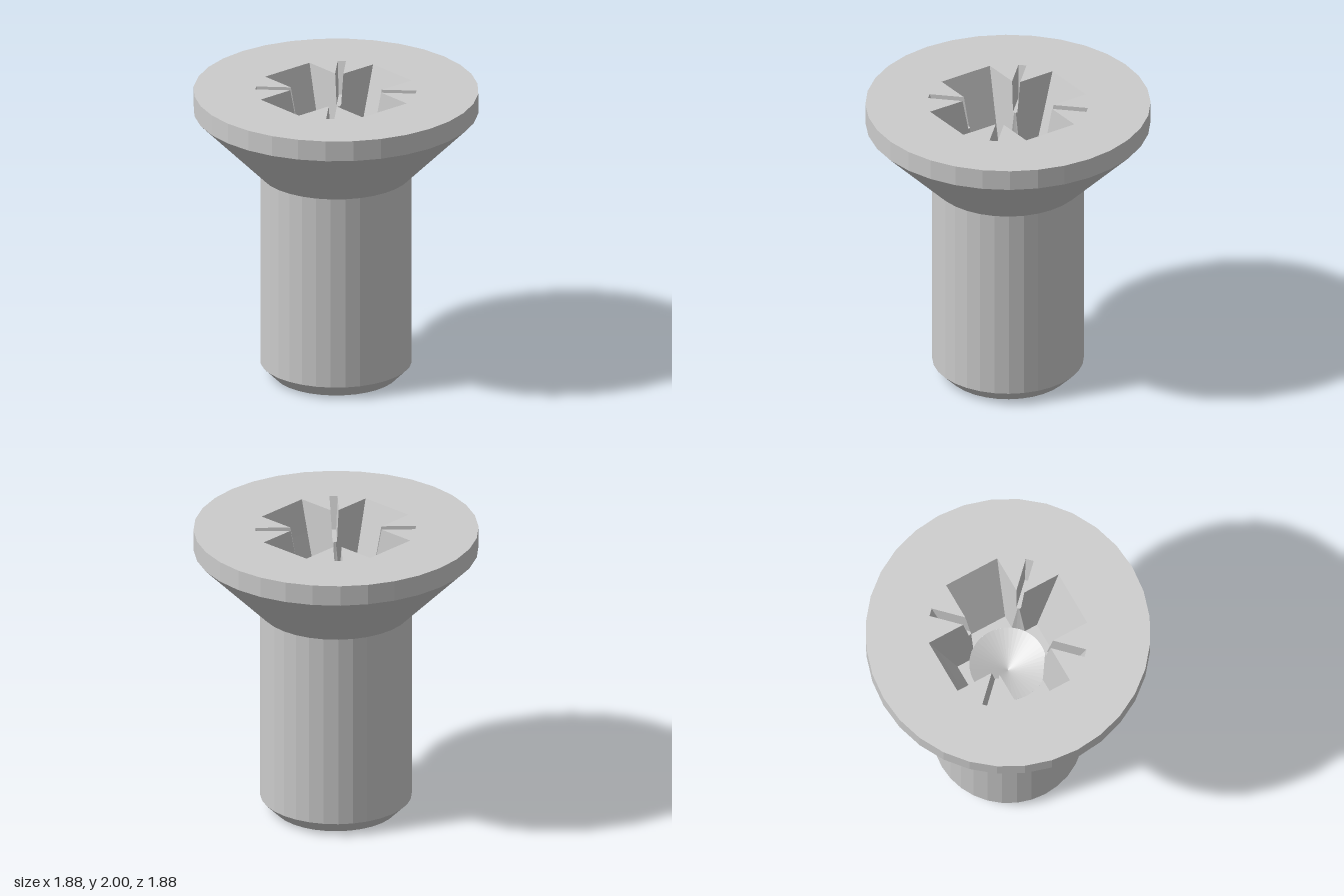
import * as THREE from 'three';

const SIDES = 32;
const TOP = 2, SLOT_Y = 1.79, FLOOR_Y = 1.4, TIP_Y = 1.28;
const BORE = 0.255; // radius of the drilled centre of the recess

const material = new THREE.MeshStandardMaterial({ color: 0xcccccc, flatShading: true });

function part(name, geometry) {
  const mesh = new THREE.Mesh(geometry, material);
  mesh.name = name;
  return mesh;
}

const lathe = (pairs, sides) =>
  new THREE.LatheGeometry(pairs.map(([r, y]) => new THREE.Vector2(r, y)), sides);

// Repeats one arm and its corner four times round the axis.
function ring(y, half, length, corner) {
  const quarter = [[length, -half], [length, half], ...corner];
  const points = [];
  for (let q = 0; q < 4; q++) {
    for (const [a, b] of quarter) {
      const [x, z] = [[a, b], [-b, a], [-a, -b], [b, -a]][q];
      points.push(new THREE.Vector3(x, y, z));
    }
  }
  return points;
}

// Corner with a narrow diagonal slot: w is its half width, r its outer reach.
function slotCorner(half, w, r) {
  const o = w * Math.SQRT2, e = r * Math.SQRT1_2, k = w * Math.SQRT1_2;
  return [[half + o, half], [e + k, e - k], [e - k, e + k], [half, half + o]];
}

// Corner rounded off by the bore.
function boreCorner(half) {
  const start = Math.asin(half / BORE), sweep = Math.PI / 2 - 2 * start;
  return [0, 1, 2, 3].map((i) => {
    const a = start + (sweep * i) / 3;
    return [BORE * Math.cos(a), BORE * Math.sin(a)];
  });
}

// Inward-facing walls between successive rings, from the top down.
function loft(rings) {
  const tri = [];
  for (let i = 0; i + 1 < rings.length; i++) {
    const u = rings[i], w = rings[i + 1];
    for (let j = 0; j < u.length; j++) {
      const k = (j + 1) % u.length;
      tri.push(u[j], w[j], u[k], u[k], w[j], w[k]);
    }
  }
  const geometry = new THREE.BufferGeometry().setFromPoints(tri);
  geometry.computeVertexNormals();
  return geometry;
}

export function createModel() {
  const model = new THREE.Group();
  model.name = 'countersunkScrew';

  // Shank with chamfered tip, conical head and its straight rim
  model.add(part('shankAndHead', lathe(
    [[0, 0], [0.41, 0], [0.5, 0.09], [0.5, 1.42], [0.94, 1.86], [0.94, TOP]], SIDES)));

  // Recess outlines at the mouth, slot floor and arm floor
  const mouth = ring(TOP, 0.193, 0.49, slotCorner(0.193, 0.027, 0.53));
  const slotFloor = ring(SLOT_Y, 0.176, 0.424, slotCorner(0.176, 0.015, 0.46));
  const underSlot = ring(SLOT_Y, 0.176, 0.424, boreCorner(0.176));
  const armFloor = ring(FLOOR_Y, 0.146, 0.3, boreCorner(0.146));
  model.add(part('recessWalls', loft([mouth, slotFloor, underSlot, armFloor])));

  // Flat top of the head, pierced by the recess
  const disc = new THREE.Shape();
  for (let i = 0; i < SIDES; i++) {
    const a = (i / SIDES) * Math.PI * 2;
    disc[i ? 'lineTo' : 'moveTo'](0.94 * Math.cos(a), 0.94 * Math.sin(a));
  }
  disc.holes.push(new THREE.Path(mouth.map((p) => new THREE.Vector2(p.x, -p.z))));
  const face = new THREE.ShapeGeometry(disc).rotateX(-Math.PI / 2).translate(0, TOP, 0);
  model.add(part('headTop', face));

  // Floors of the four arms, ending at the bore
  const a = Math.asin(0.146 / BORE);
  const arm = new THREE.Shape();
  arm.moveTo(0.3, -0.146);
  arm.lineTo(0.3, 0.146);
  arm.absarc(0, 0, BORE, a, -a, true);
  for (let q = 0; q < 4; q++) {
    const floor = new THREE.ShapeGeometry(arm, 8).rotateX(-Math.PI / 2);
    floor.rotateY((q * Math.PI) / 2).translate(0, FLOOR_Y, 0);
    model.add(part('recessFloor', floor));
  }

  // Drilled cone at the bottom of the recess
  model.add(part('recessCone', lathe([[BORE, FLOOR_Y], [0, TIP_Y]], 48)));

  return model;
}
